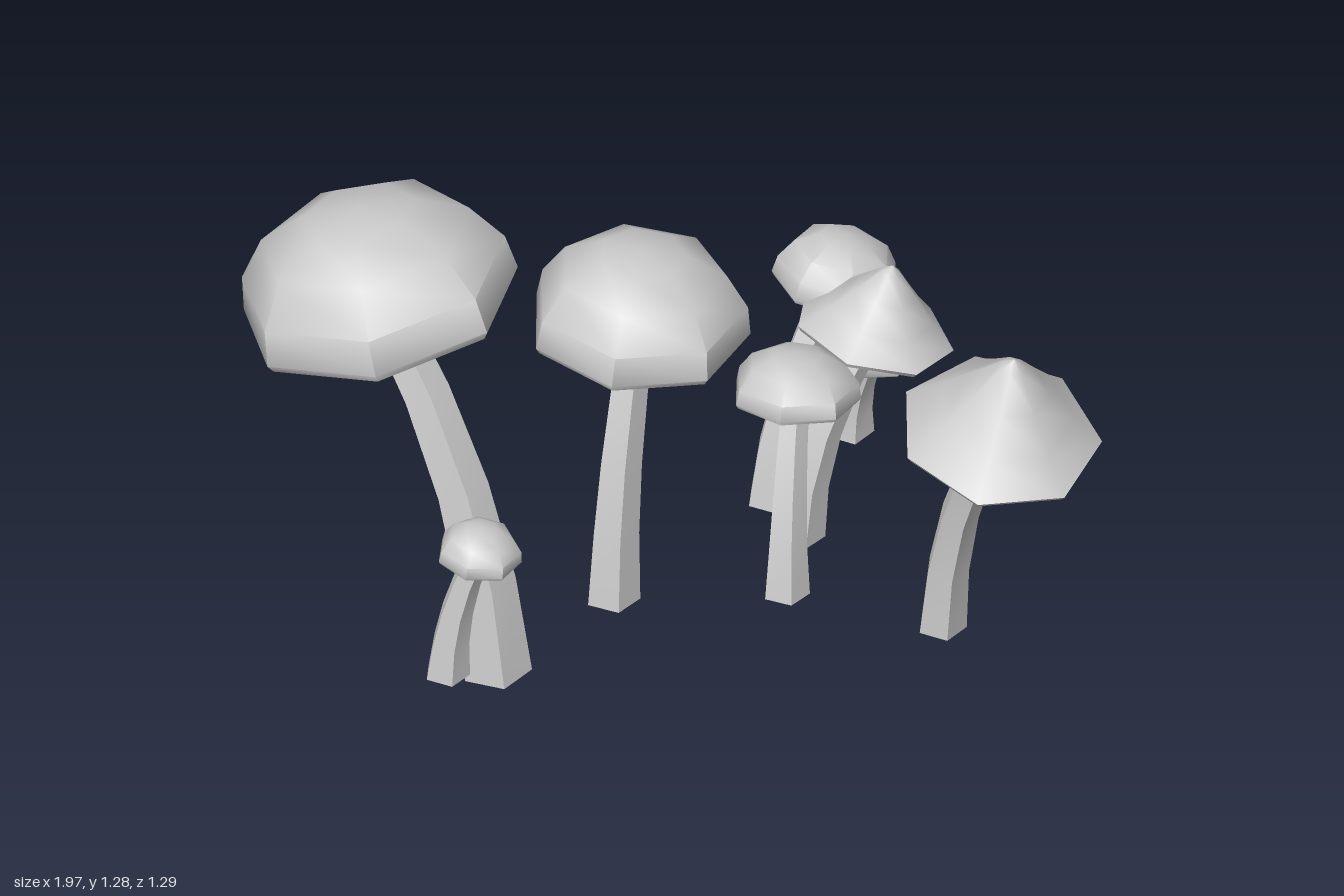
import * as THREE from 'three';
import { toCreasedNormals } from 'three/addons/utils/BufferGeometryUtils.js';

const STEM_SIDES = 5, STEM_STEPS = 4, CAP_SIDES = 7;
const CREASE = Math.PI / 4;

// Cap profiles as [radius, height] fractions, from the rim to the tip
const DOME = [[1, 0], [0.96, 0.33], [0.76, 0.7], [0.4, 0.94], [0, 1]];
const CONE = [[1, 0], [0.7, 0.28], [0.4, 0.6], [0.13, 0.9], [0, 1]];

// cap: rim centre, up: cap axis, r/h: cap size, turn: angle of one rim corner (degrees, from +x to +z)
// base: foot of the stem, wide/thin: stem radius at foot and top
const MUSHROOMS = [
  { name: 'largeDomeMushroom', profile: DOME, cap: [-0.65, 1.0, -0.26], up: [-0.15, 1, -0.18], r: 0.355, h: 0.285, turn: 6.5,
    base: [-0.44, 0.015, 0.02], wide: 0.09, thin: 0.055 },
  { name: 'mediumDomeMushroom', profile: DOME, cap: [0.02, 0.775, -0.25], up: [0.08, 1, -0.03], r: 0.28, h: 0.235, turn: -84,
    base: [-0.08, 0.03, -0.15], wide: 0.07, thin: 0.045 },
  { name: 'frontConeMushroom', profile: CONE, cap: [0.745, 0.75, 0.41], up: [0.08, 1, 0.21], r: 0.257, h: 0.27, turn: -86,
    base: [0.66, 0.025, 0.21], wide: 0.063, thin: 0.042 },
  { name: 'rearConeMushroom', profile: CONE, cap: [0.64, 0.615, -0.26], up: [0.27, 1, 0], r: 0.205, h: 0.19, turn: 77,
    base: [0.44, 0.035, -0.24], wide: 0.063, thin: 0.04 },
  { name: 'smallDomeMushroom', profile: DOME, cap: [0.4, 0.54, -0.155], up: [0.1, 1, -0.17], r: 0.163, h: 0.122, turn: -84,
    base: [0.33, 0.04, -0.02], wide: 0.06, thin: 0.035 },
  { name: 'rearDomeMushroom', profile: DOME, cap: [0.605, 0.625, -0.455], up: [0.22, 1, -0.06], r: 0.162, h: 0.14, turn: -108,
    base: [0.42, 0.03, -0.405], wide: 0.065, thin: 0.04 },
  { name: 'tinyRearMushroom', profile: DOME, cap: [0.72, 0.355, -0.495], up: [0.05, 1, 0.12], r: 0.105, h: 0.088, turn: -80,
    base: [0.685, 0.05, -0.59], wide: 0.062, thin: 0.033 },
  { name: 'tinyFrontMushroom', profile: DOME, cap: [-0.505, 0.428, 0.083], up: [0.1, 1, 0.01], r: 0.107, h: 0.09, turn: 75,
    base: [-0.575, 0.05, 0.04], wide: 0.058, thin: 0.032 },
];

// Tapered stem swept along a bent curve, closed at the foot
function stemGeometry(base, top, wide, thin) {
  const a = new THREE.Vector3(...base);
  const mid = a.clone().lerp(top, 0.08).setY(a.y + (top.y - a.y) * 0.52);
  const curve = new THREE.QuadraticBezierCurve3(a, mid, top);
  const positions = [], index = [];
  for (let i = 0; i <= STEM_STEPS; i++) {
    const t = i / STEM_STEPS;
    const p = curve.getPoint(t), dir = curve.getTangent(t);
    const u = new THREE.Vector3(1, 0, 0).addScaledVector(dir, -dir.x).normalize();
    const v = new THREE.Vector3().crossVectors(u, dir);
    const radius = THREE.MathUtils.lerp(wide, thin, Math.pow(t, 0.75));
    for (let k = 0; k < STEM_SIDES; k++) {
      const ang = (k / STEM_SIDES) * Math.PI * 2 + 0.4;
      const q = p.clone().addScaledVector(u, Math.cos(ang) * radius).addScaledVector(v, Math.sin(ang) * radius);
      positions.push(q.x, q.y, q.z);
    }
  }
  for (let i = 0; i < STEM_STEPS; i++) {
    for (let k = 0; k < STEM_SIDES; k++) {
      const k2 = (k + 1) % STEM_SIDES;
      const p = i * STEM_SIDES + k, q = i * STEM_SIDES + k2;
      index.push(p, p + STEM_SIDES, q, q, p + STEM_SIDES, q + STEM_SIDES);
    }
  }
  for (let k = 1; k < STEM_SIDES - 1; k++) index.push(0, k, k + 1);
  const g = new THREE.BufferGeometry();
  g.setAttribute('position', new THREE.Float32BufferAttribute(positions, 3));
  g.setIndex(index);
  return toCreasedNormals(g, CREASE);
}

// Seven-sided cap with a shallow hollow underside and a thin lip
function capGeometry(profile, r, h, turn) {
  const points = [
    new THREE.Vector2(0, r * 0.06),
    new THREE.Vector2(r * 0.96, -r * 0.06),
    ...profile.map(([x, y]) => new THREE.Vector2(x * r, y * h)),
  ];
  const phi = Math.PI / 2 - THREE.MathUtils.degToRad(turn);
  return toCreasedNormals(new THREE.LatheGeometry(points, CAP_SIDES, phi), CREASE);
}

export function createModel() {
  const model = new THREE.Group();
  model.name = 'mushroomCluster';
  const grey = new THREE.MeshStandardMaterial({ color: 0xcccccc });
  grey.name = 'paleGrey';

  for (const m of MUSHROOMS) {
    const group = new THREE.Group();
    group.name = m.name;
    const up = new THREE.Vector3(...m.up).normalize();
    const centre = new THREE.Vector3(...m.cap);

    const cap = new THREE.Mesh(capGeometry(m.profile, m.r, m.h, m.turn), grey);
    cap.name = 'cap';
    cap.position.copy(centre);
    cap.quaternion.setFromUnitVectors(new THREE.Vector3(0, 1, 0), up);

    // The stem ends just inside the cap
    const top = centre.clone().addScaledVector(up, m.r * 0.1);
    const stem = new THREE.Mesh(stemGeometry(m.base, top, m.wide, m.thin), grey);
    stem.name = 'stem';

    group.add(stem, cap);
    model.add(group);
  }
  return model;
}
